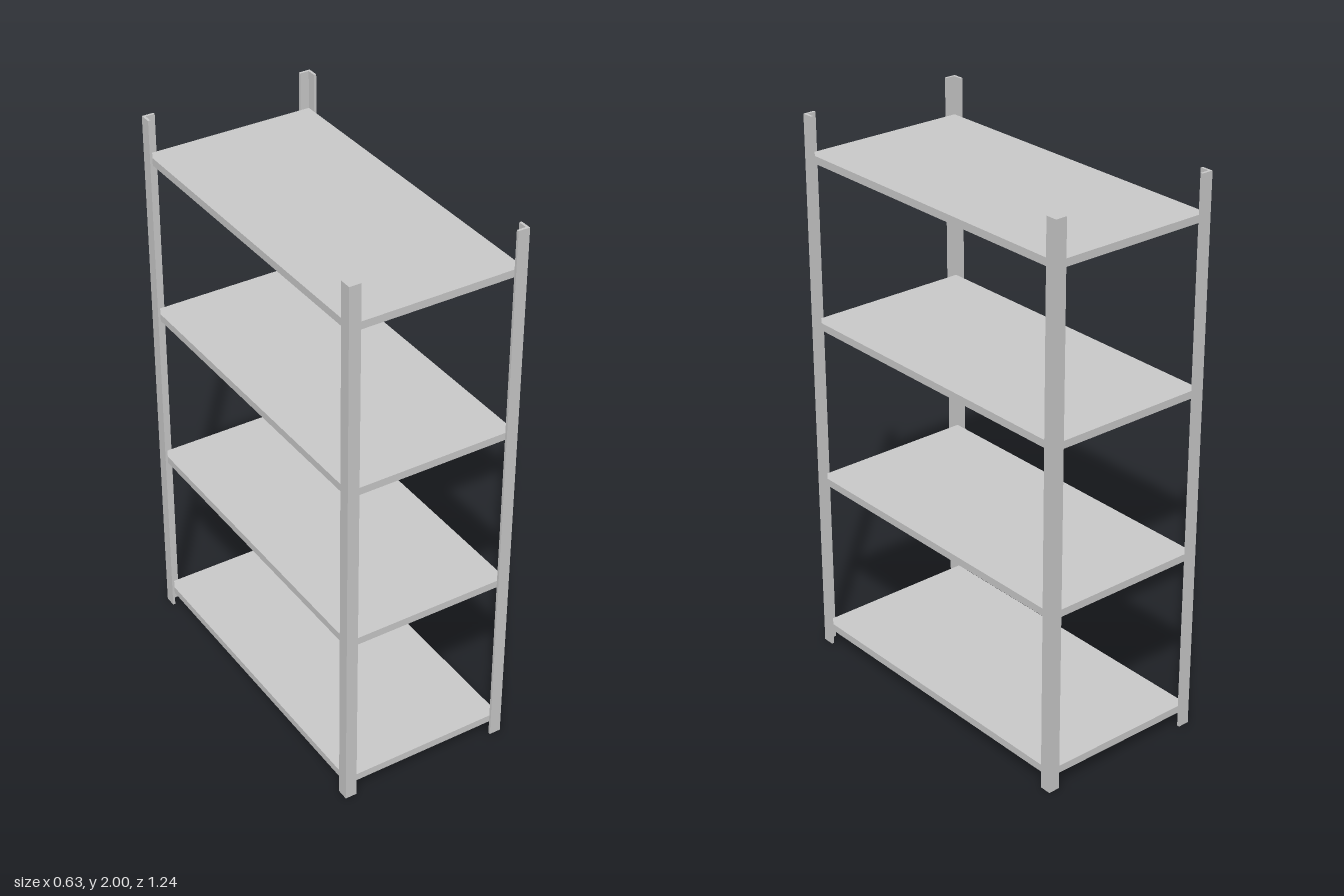
import * as THREE from 'three';

const W = 0.632, D = 1.236, H = 2;  // overall size
const LEG = 0.042, T = 0.009;       // angle-post flange width and thickness
const SHELF_H = 0.027;

// L-section upright with its outer corner at the origin, flanges towards +x and +z
function anglePostGeometry() {
  const s = new THREE.Shape();
  [[0, 0], [LEG, 0], [LEG, T], [T, T], [T, LEG], [0, LEG]]
    .forEach(([x, y], i) => (i ? s.lineTo(x, y) : s.moveTo(x, y)));
  const g = new THREE.ExtrudeGeometry(s, { depth: H, bevelEnabled: false });
  g.rotateX(Math.PI / 2);      // shape y becomes z, extrusion runs down
  g.translate(0, H, 0);
  return g;
}

export function createModel() {
  const group = new THREE.Group();
  const mat = new THREE.MeshStandardMaterial({ color: 0xcccccc });

  // Four corner posts, each turned a quarter so its flanges face inwards
  const post = anglePostGeometry();
  [[-1, -1, 'backRightPost'], [-1, 1, 'frontRightPost'], [1, 1, 'frontLeftPost'], [1, -1, 'backLeftPost']]
    .forEach(([sx, sz, name], i) => {
      const m = new THREE.Mesh(post, mat);
      m.name = name;
      m.position.set(sx * W / 2, 0, sz * D / 2);
      m.rotation.y = i * Math.PI / 2;
      group.add(m);
    });

  // Four evenly spaced shelves held inside the posts
  const shelf = new THREE.BoxGeometry(W - 2 * T, SHELF_H, D - 2 * T);
  for (let i = 0; i < 4; i++) {
    const m = new THREE.Mesh(shelf, mat);
    m.name = `shelf${i + 1}`;
    m.position.y = 0.066 + i * 0.595;
    group.add(m);
  }
  return group;
}
